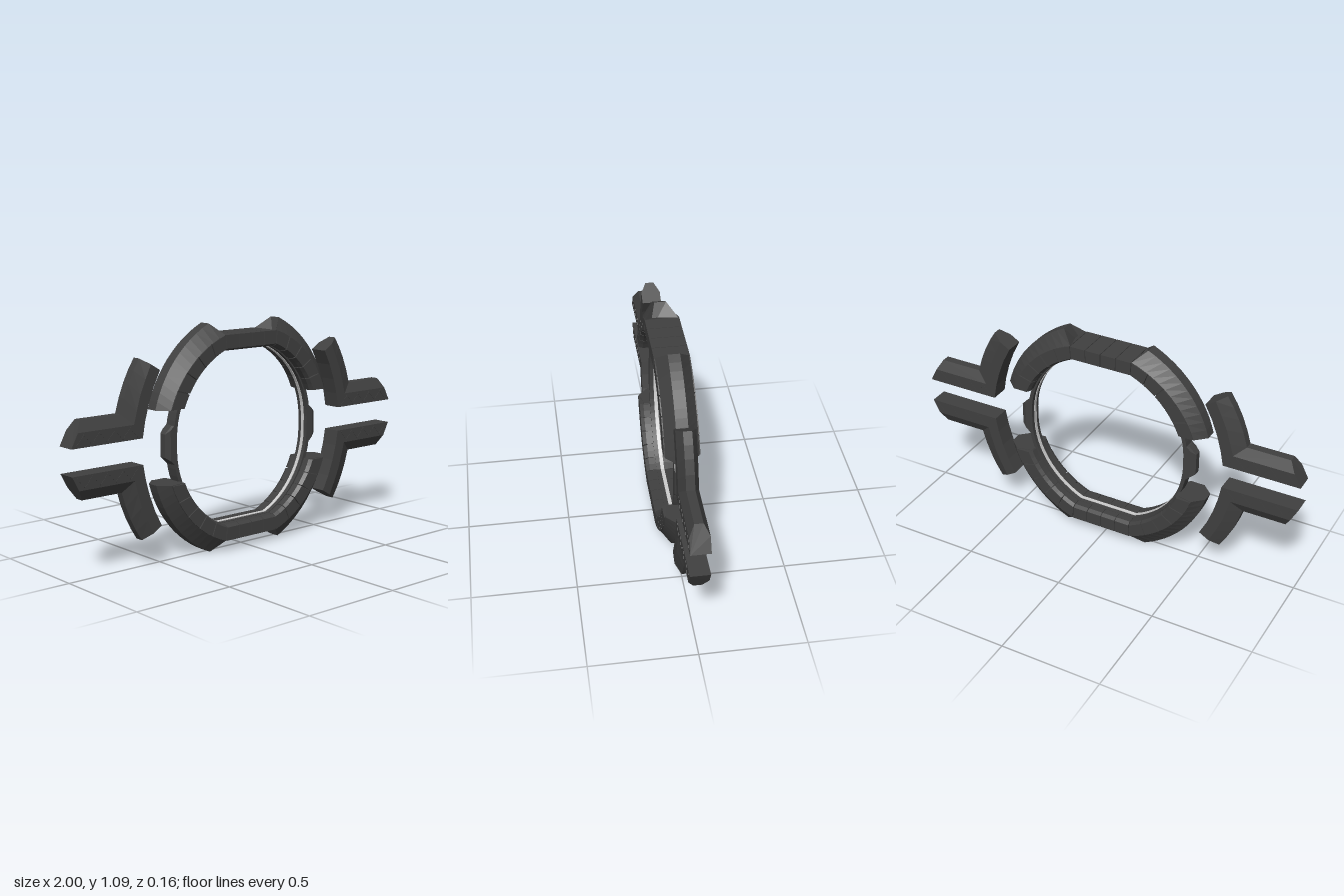
import * as THREE from 'three';

const DARK = 0x404040;
const dark = new THREE.MeshStandardMaterial({ color: DARK, flatShading: true });
const pale = new THREE.MeshStandardMaterial({ color: 0xcccccc, flatShading: true });
const MIRRORS = [[1, 1], [-1, 1], [1, -1], [-1, -1]];

const mix = (a, b, t) => [a[0] + (b[0] - a[0]) * t, a[1] + (b[1] - a[1]) * t];

// Point between a and b, sweeping angle and radius about the centre
function sweep(a, b, t) {
  const angle = THREE.MathUtils.lerp(Math.atan2(a[1], a[0]), Math.atan2(b[1], b[0]), t);
  const r = THREE.MathUtils.lerp(Math.hypot(...a), Math.hypot(...b), t);
  return [r * Math.cos(angle), r * Math.sin(angle)];
}

// Solid through stations; each station is a row of xy points with half depths zs,
// completed by its reflection in z
function loft(stations, zs, sx = 1, sy = 1, closed = false) {
  const rings = stations.map((row) => {
    const front = row.map(([x, y], i) => [x * sx, y * sy, zs[i]]);
    return [...front, ...front.map(([x, y, z]) => [x, y, -z]).reverse()];
  });
  const n = rings[0].length, tris = [];
  const count = closed ? rings.length : rings.length - 1;
  for (let i = 0; i < count; i++) {
    const a = rings[i], b = rings[(i + 1) % rings.length];
    for (let j = 0; j < n; j++) {
      const k = (j + 1) % n;
      tris.push([a[j], b[j], b[k]], [a[j], b[k], a[k]]);
    }
  }
  if (!closed) {
    const a = rings[0], b = rings[rings.length - 1];
    for (let j = 1; j < n - 1; j++) tris.push([a[0], a[j], a[j + 1]], [b[0], b[j + 1], b[j]]);
  }
  // Turn all faces outward using the signed volume
  const v = (p) => new THREE.Vector3(...p);
  let volume = 0;
  for (const [p, q, r] of tris) volume += v(p).dot(v(q).cross(v(r)));
  if (volume < 0) tris.forEach((t) => t.reverse());
  const geometry = new THREE.BufferGeometry();
  geometry.setAttribute('position', new THREE.Float32BufferAttribute(tris.flat(2), 3));
  geometry.computeVertexNormals();
  return geometry;
}

export function createModel() {
  const model = new THREE.Group();
  model.name = 'ringFrame';
  const body = new THREE.Group();
  body.position.y = 0.547;
  model.add(body);
  const add = (name, geometry, material = dark) => {
    const mesh = new THREE.Mesh(geometry, material);
    mesh.name = name;
    body.add(mesh);
    return mesh;
  };

  // Arc guide points: lower end and upper end of inner, shoulder and outer edges
  const inner = [[0.397, 0.174], [0.155, 0.418]];
  const shoulder = [[0.483, 0.174], [0.16, 0.493]];
  const outer = [[0.535, 0.174], [0.22, 0.547]];
  const at = (edge, t) => sweep(edge[0], edge[1], t);

  // Raised armour plate between two rows of [inner, shoulder] points
  const plateZ = [0.064, 0.082, 0.082];
  const plateRow = (p, q) => [p, mix(p, q, 0.14), q];

  for (const [sx, sy] of MIRRORS) {
    // Chamfered quarter arcs
    const rows = [];
    for (let i = 0; i <= 12; i++) {
      const t = i / 12;
      const p = at(inner, t), q = at(shoulder, t);
      rows.push([mix(p, q, 0.05), q, at(outer, t)]);
    }
    add('arcBody', loft(rows, [0.06, 0.077, 0.028], sx, sy));

    // Plates along each arc
    for (let i = 0; i < 5; i++) {
      const plate = [];
      for (let j = 0; j <= 2; j++) {
        const t = (i + 0.03 + 0.94 * j / 2) / 5;
        plate.push(plateRow(at(inner, t), at(shoulder, t)));
      }
      add('arcPlate', loft(plate, plateZ, sx, sy));
    }

    // Bent side arm: straight beam, then a curved fin
    const arm = [
      [[1, 0.061], [0.965, 0.128], [0.936, 0.178]],
      [[0.62, 0.061], [0.667, 0.128], [0.722, 0.178]],
      [[0.606, 0.135], [0.65, 0.19], [0.701, 0.247]],
      [[0.585, 0.21], [0.63, 0.257], [0.675, 0.312]],
      [[0.556, 0.287], [0.6, 0.325], [0.647, 0.367]],
      [[0.519, 0.36], [0.569, 0.39], [0.615, 0.418]],
    ];
    add('sideArm', loft(arm, [0.046, 0.046, 0.02], sx, sy));

    // Zigzag trim on both faces of the beam
    for (let i = 0; i < 8; i++) {
      const a = [0.645 + i * 0.041, i % 2 ? 0.117 : 0.07];
      const b = [0.645 + (i + 1) * 0.041, i % 2 ? 0.07 : 0.117];
      const length = Math.hypot(b[0] - a[0], b[1] - a[1]);
      const strip = add('armTrim', new THREE.BoxGeometry(length, 0.006, 0.0945));
      strip.position.set(sx * (a[0] + b[0]) / 2, sy * (a[1] + b[1]) / 2, 0);
      strip.rotation.z = sx * sy * Math.atan2(b[1] - a[1], b[0] - a[0]);
    }
  }

  // Straight bars at top and bottom, each with four plates
  for (const sy of [1, -1]) {
    const barRow = (t) => [
      [THREE.MathUtils.lerp(-0.155, 0.155, t), 0.418],
      [THREE.MathUtils.lerp(-0.16, 0.16, t), 0.493],
    ];
    const core = [0, 1].map((t) => {
      const [p, q] = barRow(t);
      return [mix(p, q, 0.05), mix(p, q, 0.95)];
    });
    add('crossBar', loft(core, [0.06, 0.077], 1, sy));
    for (let i = 0; i < 4; i++) {
      const plate = [0.02, 0.98].map((f) => plateRow(...barRow((i + f) / 4)));
      add('crossBarPlate', loft(plate, plateZ, 1, sy));
    }
  }

  // Thin inner ring, round at the sides and flat at top and bottom
  const quarter = [];
  for (let i = 0; i <= 14; i++) quarter.push(sweep([0.413, 0], [0.153, 0.416], i / 14));
  const flipX = ([x, y]) => [-x, y], turn = ([x, y]) => [-x, -y];
  const half = [...quarter, ...quarter.slice(1).reverse().map(flipX)];
  const path = [...half, ...half.map(turn)];
  const scaled = ([x, y], s) => [x * s, y * s];
  add('innerRing', loft(path.map((p) => [p, scaled(p, 1.045)]), [0.03, 0.03], 1, 1, true));
  add('lightStrip', loft(path.map((p) => [scaled(p, 0.993), scaled(p, 1.01)]), [0.009, 0.009], 1, 1, true), pale);

  // Bevelled tabs on the two sides of the ring
  for (const sx of [1, -1]) {
    const tab = [
      [[0.415, -0.092], [0.428, -0.092], [0.436, -0.09]],
      [[0.415, -0.075], [0.45, -0.072], [0.474, -0.055]],
      [[0.415, 0.075], [0.45, 0.072], [0.474, 0.055]],
      [[0.415, 0.092], [0.428, 0.092], [0.436, 0.09]],
    ];
    add('sideTab', loft(tab, [0.03, 0.03, 0.017], sx));
  }
  return model;
}
